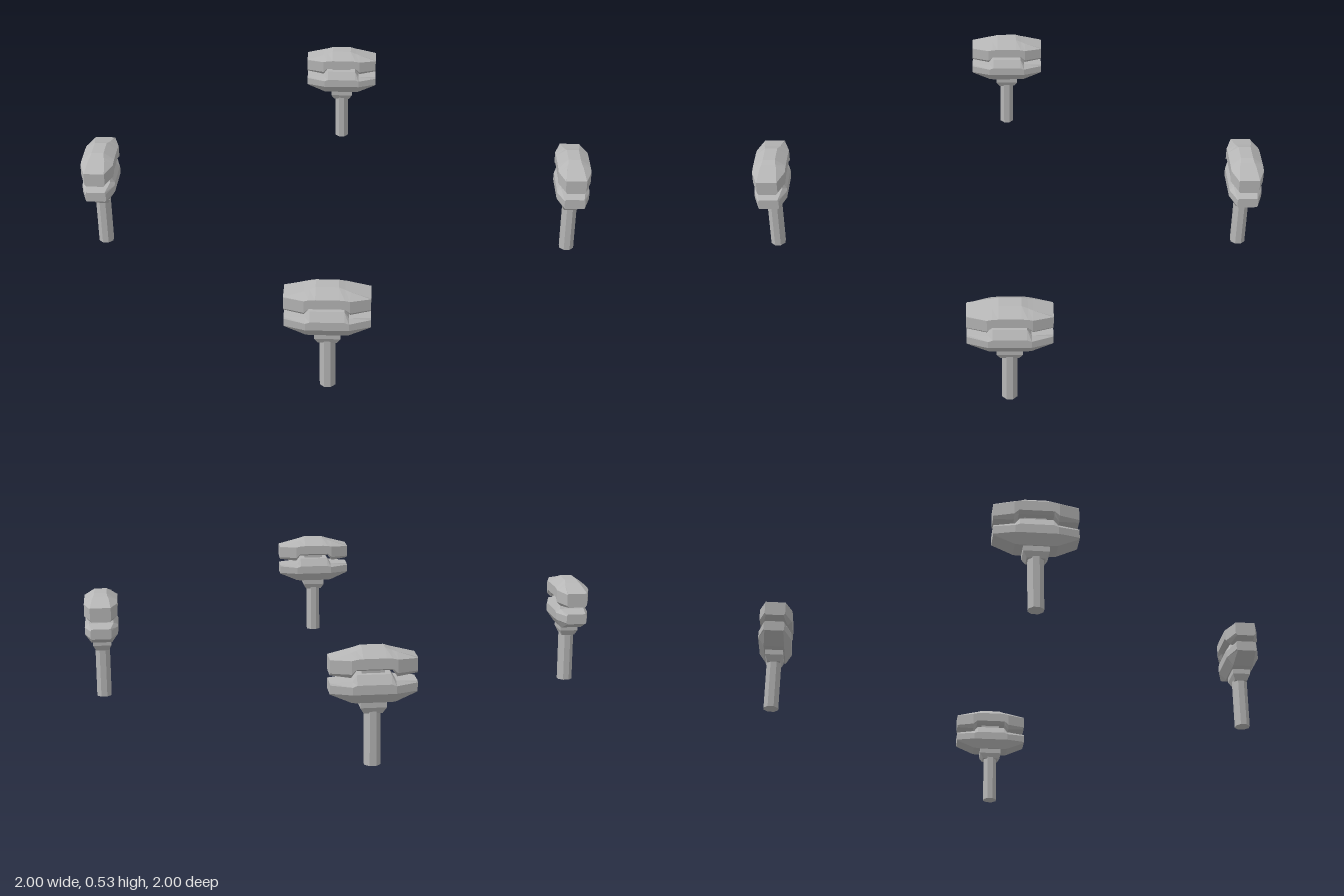
import * as THREE from 'three';

const grey = new THREE.MeshStandardMaterial({ color: 0xb6b6b6, flatShading: true });
grey.name = 'grey metal';

// Faceted slab from octagonal cross-sections along x, mirrored about x = 0.
// Station: [x, top half-width, top y, belt half-width, belt upper y, belt lower y, bottom half-width, bottom y]
function slab(half) {
  const stations = [...half.map(([x, ...r]) => [-x, ...r]), ...half.slice().reverse()];
  const rings = stations.map(([x, wt, yt, w, y2, y1, wb, yb]) =>
    [[wt, yt], [w, y2], [w, y1], [wb, yb], [-wb, yb], [-w, y1], [-w, y2], [-wt, yt]]
      .map(([z, y]) => [x, y, z]));
  const pos = [];
  const tri = (a, b, c) => pos.push(...a, ...b, ...c);
  for (let i = 0; i < rings.length - 1; i++) {
    for (let j = 0; j < 8; j++) {
      const k = (j + 1) % 8;
      tri(rings[i][j], rings[i][k], rings[i + 1][k]);
      tri(rings[i][j], rings[i + 1][k], rings[i + 1][j]);
    }
  }
  const first = rings[0], last = rings[rings.length - 1];
  for (let j = 1; j < 7; j++) {
    tri(last[0], last[j], last[j + 1]);
    tri(first[0], first[j + 1], first[j]);
  }
  const g = new THREE.BufferGeometry();
  g.setAttribute('position', new THREE.Float32BufferAttribute(pos, 3));
  g.computeVertexNormals();
  return g;
}

// Rectangular tapered block between two heights
function block(y0, y1, bottomScale) {
  const g = new THREE.CylinderGeometry(Math.SQRT2, Math.SQRT2 * bottomScale, y1 - y0, 4);
  g.rotateY(Math.PI / 4);
  g.scale(0.058, 1, 0.044);
  g.translate(0, (y0 + y1) / 2, 0);
  return g;
}

export function createModel() {
  const model = new THREE.Group();
  model.name = 'cornerPosts';

  const post = new THREE.CylinderGeometry(0.038, 0.038, 0.25, 8);
  post.rotateY(Math.PI / 8);
  post.translate(0, 0.125, 0);

  const parts = {
    post,
    collarTaper: block(0.24, 0.268, 0.72),
    collar: block(0.268, 0.305, 1),
    // lower jaw with a raised middle
    lowerJaw: slab([
      [0.19, 0.045, 0.385, 0.05, 0.377, 0.34, 0.045, 0.335],
      [0.095, 0.06, 0.392, 0.08, 0.372, 0.338, 0.05, 0.295],
      [0.075, 0.055, 0.42, 0.08, 0.38, 0.338, 0.05, 0.293],
    ]),
    // upper jaw with a notch underneath
    upperJaw: slab([
      [0.19, 0.049, 0.49, 0.05, 0.486, 0.43, 0.042, 0.42],
      [0.1, 0.04, 0.515, 0.08, 0.49, 0.43, 0.06, 0.41],
      [0.078, 0.034, 0.522, 0.08, 0.495, 0.45, 0.06, 0.44],
      [0.05, 0.03, 0.532, 0.08, 0.497, 0.45, 0.06, 0.44],
    ]),
    // hidden joint between the jaws
    joint: new THREE.BoxGeometry(0.1, 0.06, 0.06).translate(0, 0.42, 0),
  };

  // four identical posts facing outward on the corners
  for (let i = 0; i < 4; i++) {
    const corner = new THREE.Group();
    corner.name = 'cornerPost' + (i + 1);
    const a = Math.PI / 4 + i * Math.PI / 2;
    corner.position.set(Math.sin(a) * 1.174, 0, Math.cos(a) * 1.174);
    corner.rotation.y = a;
    for (const [name, geometry] of Object.entries(parts)) {
      const mesh = new THREE.Mesh(geometry, grey);
      mesh.name = name;
      corner.add(mesh);
    }
    model.add(corner);
  }
  return model;
}
